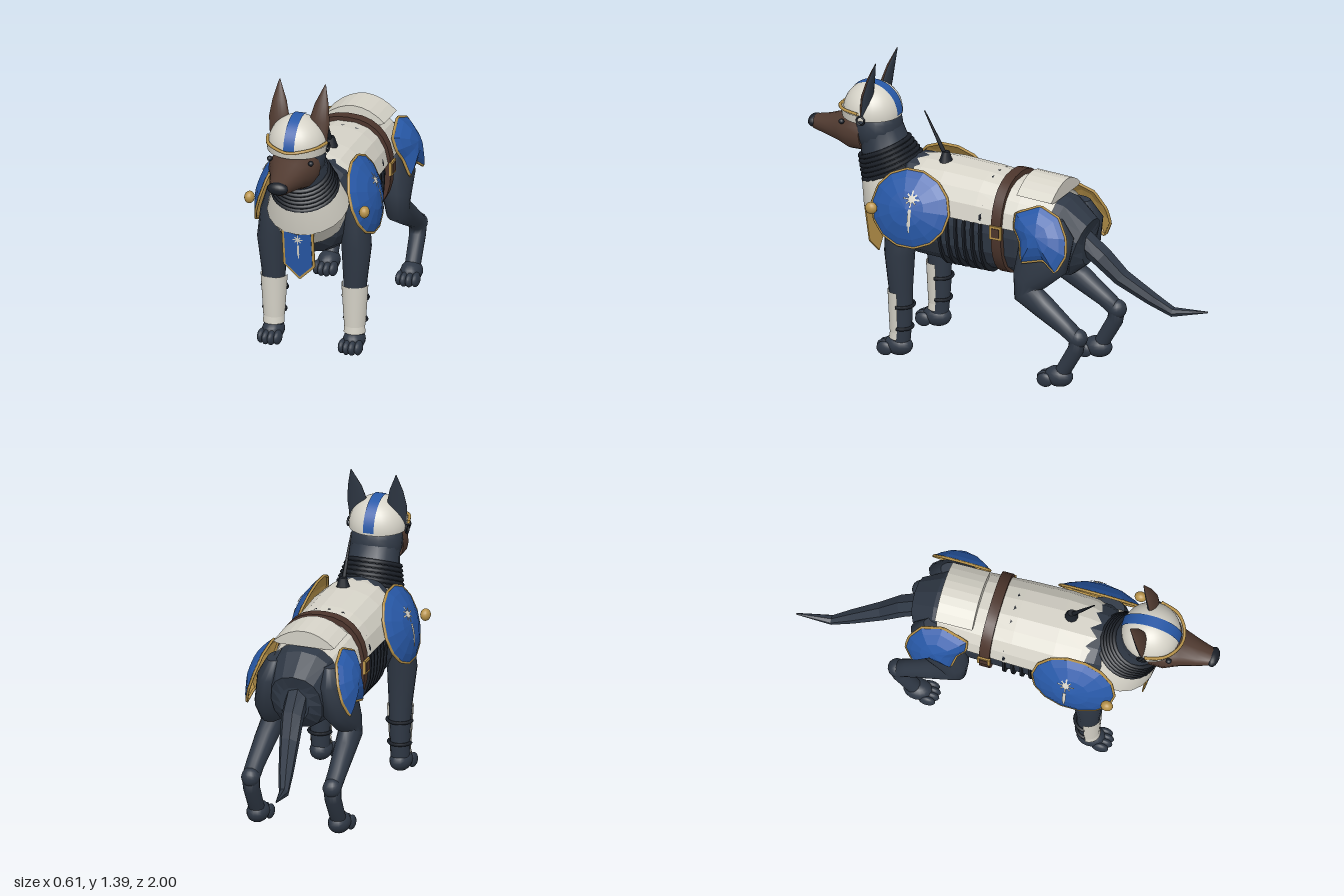
import * as THREE from 'three';
import { mergeGeometries } from 'three/addons/utils/BufferGeometryUtils.js';

const mat = (name, color, side = THREE.FrontSide) => Object.assign(new THREE.MeshStandardMaterial({ color, side }), { name });

// Skin elliptical sections [x, y, z, halfWidth, halfDepth] along a path; arc limits leave it open.
function loft(rows, { n = 16, from = 0, to = Math.PI * 2, p = 1, flat = false } = {}) {
  const full = to - from > 6.28, cols = full ? n : n + 1, pos = [], idx = [];
  const c = rows.map(r => new THREE.Vector3(r[0], r[1], r[2]));
  const pw = v => Math.sign(v) * Math.abs(v) ** p;
  rows.forEach((r, i) => {
    const t = c[Math.min(i + 1, c.length - 1)].clone().sub(c[Math.max(i - 1, 0)]).normalize();
    const n2 = t.cross(new THREE.Vector3(1, 0, 0)).normalize();
    for (let j = 0; j < cols; j++) {
      const a = from + (to - from) * j / n, s = pw(Math.sin(a)) * r[4];
      pos.push(r[0] + pw(Math.cos(a)) * r[3], r[1] + n2.y * s, r[2] + n2.z * s);
    }
  });
  for (let i = 0; i < rows.length - 1; i++) for (let j = 0; j < n; j++) {
    const k = (j + 1) % cols, a = i * cols + j, b = i * cols + k;
    idx.push(a, b, b + cols, a, b + cols, a + cols);
  }
  if (full) for (const e of [0, rows.length - 1]) {
    const base = pos.length / 3;
    pos.push(...pos.slice(e * cols * 3, (e + 1) * cols * 3), c[e].x, c[e].y, c[e].z);
    for (let j = 0; j < n; j++) {
      const k = (j + 1) % n;
      idx.push(base + n, base + (e ? j : k), base + (e ? k : j));
    }
  }
  let g = new THREE.BufferGeometry();
  g.setAttribute('position', new THREE.Float32BufferAttribute(pos, 3));
  g.setIndex(idx);
  if (flat) g = g.toNonIndexed();
  g.computeVertexNormals();
  return g;
}

// Domed plate over a counter-clockwise outline, bulging toward +z.
function dome(outline, h) {
  const pos = [], s = [1, 0.8, 0.45, 0], n = outline.length;
  const pt = (k, j) => [outline[j % n][0] * s[k], outline[j % n][1] * s[k], h * (1 - s[k] ** 2)];
  for (let k = 0; k < 3; k++) for (let j = 0; j < n; j++) {
    pos.push(...pt(k, j), ...pt(k, j + 1), ...pt(k + 1, j + 1));
    if (k < 2) pos.push(...pt(k, j), ...pt(k + 1, j + 1), ...pt(k + 1, j));
  }
  const g = new THREE.BufferGeometry();
  g.setAttribute('position', new THREE.Float32BufferAttribute(pos, 3));
  g.computeVertexNormals();
  return g;
}

// Star above a short blade, as thin faces laid on a height rule.
function emblem(k, height = () => 0) {
  const parts = [];
  for (let i = 0; i < 4; i++) parts.push(new THREE.PlaneGeometry(0.2 * k, (i % 2 ? 1.6 : 2) * k, 1, 6).rotateZ(i * Math.PI / 4));
  parts.push(new THREE.CircleGeometry(0.45 * k, 10));
  parts.push(new THREE.PlaneGeometry(0.4 * k, 2 * k, 1, 6).translate(0, -2.2 * k, 0));
  parts.push(new THREE.PlaneGeometry(0.22 * k, 0.9 * k, 1, 4).translate(0, -3.5 * k, 0));
  const g = mergeGeometries(parts), p = g.attributes.position;
  for (let i = 0; i < p.count; i++) p.setZ(i, height(p.getX(i), p.getY(i)));
  g.computeVertexNormals();
  return g;
}

export function createModel() {
  const D = THREE.DoubleSide;
  const fur = mat('darkFur', 0x2f3845), cream = mat('creamArmour', 0xd6d3c8, D), blue = mat('bluePlate', 0x2859a8);
  const gold = mat('goldTrim', 0xb8934a, D), tan = mat('brownMuzzle', 0x503a30, D), leather = mat('leather', 0x4c352c);
  const black = mat('blackRubber', 0x1b2028, D);
  const model = new THREE.Group();
  model.name = 'armouredDog';
  const add = (parent, name, geo, material, x = 0, y = 0, z = 0) => {
    const m = new THREE.Mesh(geo, material);
    m.name = name;
    m.position.set(x, y, z);
    parent.add(m);
    return m;
  };
  const ball = (rx, ry, rz) => new THREE.SphereGeometry(1, 16, 12).scale(rx, ry, rz);

  // Torso, with ribbed belly and faceted back armour
  add(model, 'torso', loft([[0, 0.63, -0.445, 0.07, 0.08], [0, 0.63, -0.42, 0.125, 0.145], [0, 0.67, -0.32, 0.165, 0.19],
    [0, 0.68, -0.15, 0.185, 0.215], [0, 0.69, 0.05, 0.19, 0.23], [0, 0.7, 0.25, 0.2, 0.24], [0, 0.7, 0.42, 0.195, 0.235],
    [0, 0.67, 0.54, 0.15, 0.18], [0, 0.66, 0.61, 0.07, 0.09]], { p: 0.85, flat: true }), fur);
  for (let i = 0; i < 6; i++) {
    const z = 0.02 + i * 0.042;
    add(model, 'bellyRib', loft([[0, 0.685, z - 0.006, 0.206, 0.245], [0, 0.685, z + 0.006, 0.206, 0.245]], { n: 24, p: 0.85 }), black);
  }
  add(model, 'backArmour', loft([[0, 0.68, -0.31, 0.178, 0.2], [0, 0.69, -0.15, 0.197, 0.22], [0, 0.695, 0.05, 0.207, 0.24],
    [0, 0.7, 0.25, 0.212, 0.245], [0, 0.7, 0.37, 0.205, 0.24], [0, 0.7, 0.45, 0.175, 0.225]],
  { n: 9, from: 0.13, to: Math.PI - 0.13, p: 0.85, flat: true }), cream);
  add(model, 'girthStrap', loft([[0, 0.7, -0.095, 0.214, 0.243], [0, 0.7, -0.045, 0.214, 0.243]], { n: 28, p: 0.85 }), leather);

  // Curved saddle pack
  const arch = new THREE.Shape();
  arch.moveTo(-0.15, 0);
  arch.quadraticCurveTo(0, 0.135, 0.15, 0);
  arch.lineTo(0.13, -0.01);
  arch.lineTo(-0.13, -0.01);
  add(model, 'saddlePack', new THREE.ExtrudeGeometry(arch, { depth: 0.18, bevelEnabled: false, curveSegments: 8 }), cream, 0, 0.88, -0.325).rotation.x = -0.05;

  // Antenna
  add(model, 'antennaBase', new THREE.CylinderGeometry(0.017, 0.036, 0.06, 10), black, 0.03, 0.955, 0.28);
  add(model, 'antennaRod', loft([[0.03, 0.97, 0.285, 0.011, 0.011], [0.03, 1.167, 0.39, 0.003, 0.003]], { n: 6 }), black);

  // Tail
  add(model, 'tail', loft([[0, 0.69, -0.38, 0.055, 0.055], [-0.012, 0.59, -0.51, 0.055, 0.05], [-0.03, 0.5, -0.6, 0.048, 0.042],
    [-0.065, 0.405, -0.74, 0.036, 0.032], [-0.09, 0.347, -0.835, 0.024, 0.024], [-0.115, 0.367, -1, 0.004, 0.004]], { n: 7, flat: true }), fur);

  // Neck with stacked collar rings and a two-tier armour yoke
  add(model, 'neck', loft([[0, 0.76, 0.49, 0.15, 0.15], [0, 0.86, 0.565, 0.142, 0.14], [0, 0.95, 0.61, 0.122, 0.115], [0, 1.04, 0.635, 0.115, 0.1]]), fur);
  const tilt = 0.445;
  for (let i = 0; i < 6; i++) {
    const t = i / 5;
    add(model, 'collarRing', new THREE.TorusGeometry(0.15 - 0.026 * t, 0.011, 6, 28).rotateX(Math.PI / 2), black,
      0, 0.845 + 0.095 * t, 0.565 + 0.046 * t).rotation.x = tilt;
  }
  const yoke = [[0.158, -0.1], [0.186, -0.008], [0.193, 0], [0.156, 0.112]].map(p => new THREE.Vector2(...p));
  add(model, 'chestYoke', new THREE.LatheGeometry(yoke, 20).toNonIndexed(), cream, 0, 0.74, 0.52).rotation.x = tilt;

  // Chest banner
  const pennant = (w, top, low, tip) => new THREE.Shape([[-w, top], [-w, low], [0, tip], [w, low], [w, top]].map(p => new THREE.Vector2(...p)));
  const banner = new THREE.Group();
  banner.name = 'chestBanner';
  banner.position.set(0, 0.66, 0.673);
  banner.rotation.x = 0.14;
  model.add(banner);
  const plate = { depth: 0.006, bevelEnabled: false };
  add(banner, 'bannerTrim', new THREE.ExtrudeGeometry(pennant(0.077, 0.005, -0.175, -0.25), plate), gold);
  add(banner, 'bannerCloth', new THREE.ExtrudeGeometry(pennant(0.065, 0.005, -0.17, -0.235), plate), blue, 0, 0, 0.003);
  add(banner, 'bannerEmblem', emblem(0.025), cream, 0, -0.035, 0.011);

  // Head, muzzle and nose
  add(model, 'skull', ball(0.124, 0.135, 0.115), fur, 0, 1.04, 0.645);
  add(model, 'muzzle', loft([[0, 1.01, 0.69, 0.116, 0.095], [0, 1.005, 0.76, 0.115, 0.092], [0, 1.003, 0.82, 0.088, 0.07],
    [0, 0.998, 0.9, 0.062, 0.047], [0, 0.998, 0.965, 0.043, 0.033]], { p: 0.9 }), tan);
  add(model, 'nose', ball(0.05, 0.03, 0.028), black, 0, 1.002, 0.971);

  // Helmet with stripe, brow band and trim
  add(model, 'helmet', new THREE.SphereGeometry(0.138, 28, 14, 0, Math.PI * 2, 0, Math.PI * 0.53), cream, 0, 1.112, 0.672);
  add(model, 'helmetStripe', new THREE.CylinderGeometry(0.1405, 0.1405, 0.052, 28, 1, true, 0, Math.PI).rotateZ(Math.PI / 2), blue, 0, 1.112, 0.672);
  add(model, 'browBand', new THREE.CylinderGeometry(0.146, 0.14, 0.04, 24, 1, true, -Math.PI / 2, Math.PI), cream, 0, 1.107, 0.675);
  const brow = [[-0.143, 1.134, 0.68], [-0.115, 1.134, 0.765], [-0.06, 1.128, 0.812], [0, 1.12, 0.827], [0.06, 1.128, 0.812], [0.115, 1.134, 0.765], [0.143, 1.134, 0.68]];
  add(model, 'browTrim', new THREE.TubeGeometry(new THREE.CatmullRomCurve3(brow.map(p => new THREE.Vector3(...p))), 24, 0.008, 6), gold);

  // Everything on the left side, mirrored afterwards
  const left = new THREE.Group();
  left.name = 'leftSide';
  model.add(left);
  const ear = [[0.098, 1.12, 0.665, 0.04, 0.02], [0.097, 1.22, 0.652, 0.05, 0.022], [0.102, 1.3, 0.632, 0.034, 0.015], [0.111, 1.39, 0.603, 0.002, 0.002]];
  add(left, 'earBack', loft(ear, { n: 8, to: Math.PI }), fur);
  add(left, 'earInner', loft(ear, { n: 8, from: Math.PI }), tan);
  add(left, 'earpiece', new THREE.TorusGeometry(0.02, 0.005, 6, 16).rotateY(Math.PI / 2), black, 0.143, 1.105, 0.665);
  add(left, 'eye', ball(0.013, 0.012, 0.014), black, 0.1, 1.065, 0.785);
  add(left, 'buckle', new THREE.BoxGeometry(0.012, 0.066, 0.062), gold, 0.214, 0.71, -0.07);
  add(left, 'buckleCentre', new THREE.BoxGeometry(0.012, 0.044, 0.04), leather, 0.217, 0.71, -0.07);

  const armour = (name, x, y, z, lean, outline, h) => {
    const g = new THREE.Group();
    g.name = name;
    g.position.set(x, y, z);
    g.rotation.set(0, Math.PI / 2, lean, 'ZYX');
    left.add(g);
    add(g, name + 'Face', dome(outline, h), blue);
    add(g, name + 'Lining', dome(outline, h - 0.006).translate(0, 0, -0.004), gold);
    const edge = new THREE.CatmullRomCurve3(outline.map(p => new THREE.Vector3(p[0], p[1], -0.003)), true, 'catmullrom', 0);
    add(g, name + 'Rim', new THREE.TubeGeometry(edge, outline.length * 4, 0.007, 5, true), gold);
    return g;
  };
  const round = Array.from({ length: 14 }, (_, i) => [Math.cos(i * Math.PI / 7) * 0.197, Math.sin(i * Math.PI / 7) * 0.182]);
  const shoulder = armour('shoulderPlate', 0.228, 0.757, 0.363, 0.3, round, 0.058);
  const rise = (u, v) => 0.058 * (1 - ((u + 0.025) / 0.197) ** 2 - ((v + 0.05) / 0.182) ** 2) + 0.004;
  add(shoulder, 'shoulderEmblem', emblem(0.04, rise), cream, 0.025, 0.05, 0);
  add(left, 'shoulderStud', ball(0.024, 0.029, 0.029), gold, 0.279, 0.745, 0.54);
  armour('hipPlate', 0.212, 0.735, -0.3, 0.3, [[-0.14, 0.085], [-0.14, 0.02], [-0.1, -0.04], [-0.08, -0.135], [0.03, -0.105],
    [0.1, -0.155], [0.14, -0.07], [0.13, 0.01], [0.08, 0.1], [-0.02, 0.14]], 0.055);

  // Legs and paws
  add(left, 'frontLeg', loft([[0.19, 0.76, 0.41, 0.04, 0.08], [0.2, 0.66, 0.42, 0.06, 0.085], [0.205, 0.52, 0.43, 0.07, 0.072],
    [0.198, 0.34, 0.428, 0.055, 0.057], [0.196, 0.2, 0.425, 0.048, 0.052], [0.195, 0.06, 0.43, 0.043, 0.045]]), fur);
  add(left, 'greave', loft([[0.196, 0.33, 0.428, 0.063, 0.062], [0.196, 0.2, 0.428, 0.055, 0.056], [0.196, 0.125, 0.43, 0.05, 0.05]],
    { from: -0.15, to: Math.PI + 0.15 }), cream);
  add(left, 'ankleCuff', loft([[0.196, 0.128, 0.43, 0.048, 0.048], [0.196, 0.09, 0.432, 0.051, 0.051]], { from: -0.1, to: Math.PI + 0.1 }), cream);
  for (const y of [0.26, 0.15]) add(left, 'greaveStrap', new THREE.TorusGeometry(y === 0.26 ? 0.06 : 0.053, 0.008, 6, 16, Math.PI).rotateX(-Math.PI / 2), black, 0.196, y, 0.425);
  add(left, 'thigh', loft([[0.14, 0.8, -0.31, 0.04, 0.07], [0.15, 0.73, -0.31, 0.07, 0.13], [0.165, 0.6, -0.29, 0.078, 0.13],
    [0.18, 0.5, -0.23, 0.066, 0.085], [0.19, 0.435, -0.22, 0.055, 0.07], [0.195, 0.38, -0.31, 0.05, 0.058], [0.2, 0.3, -0.43, 0.043, 0.043],
    [0.2, 0.255, -0.488, 0.042, 0.045], [0.2, 0.2, -0.478, 0.039, 0.038], [0.2, 0.07, -0.405, 0.037, 0.036]]), fur);
  add(left, 'hock', ball(0.044, 0.046, 0.044), fur, 0.2, 0.258, -0.49);
  for (const [name, x, z] of [['frontPaw', 0.196, 0.44], ['hindPaw', 0.2, -0.39]]) {
    add(left, name, ball(0.052, 0.05, 0.07), fur, x, 0.053, z);
    for (let i = 0; i < 4; i++) {
      const o = i - 1.5;
      add(left, name + 'Toe', ball(0.019, 0.034, 0.04), fur, x + o * 0.026, 0.037, z + 0.072 - Math.abs(o) * 0.012);
    }
  }

  // Mirror with corrected face order
  const right = new THREE.Group();
  right.name = 'rightSide';
  left.updateMatrixWorld(true);
  left.traverse(m => {
    if (!m.isMesh) return;
    const g = m.geometry.clone().applyMatrix4(m.matrixWorld).scale(-1, 1, 1);
    const n = g.index ? g.index.count : g.attributes.position.count;
    const order = Array.from({ length: n }, (_, i) => g.index ? g.index.getX(i) : i);
    for (let i = 0; i < n; i += 3) [order[i], order[i + 1]] = [order[i + 1], order[i]];
    g.setIndex(order);
    // scale() transforms normals by the inverse transpose, so they already face outward
    add(right, m.name, g, m.material);
  });
  model.add(right);
  return model;
}
